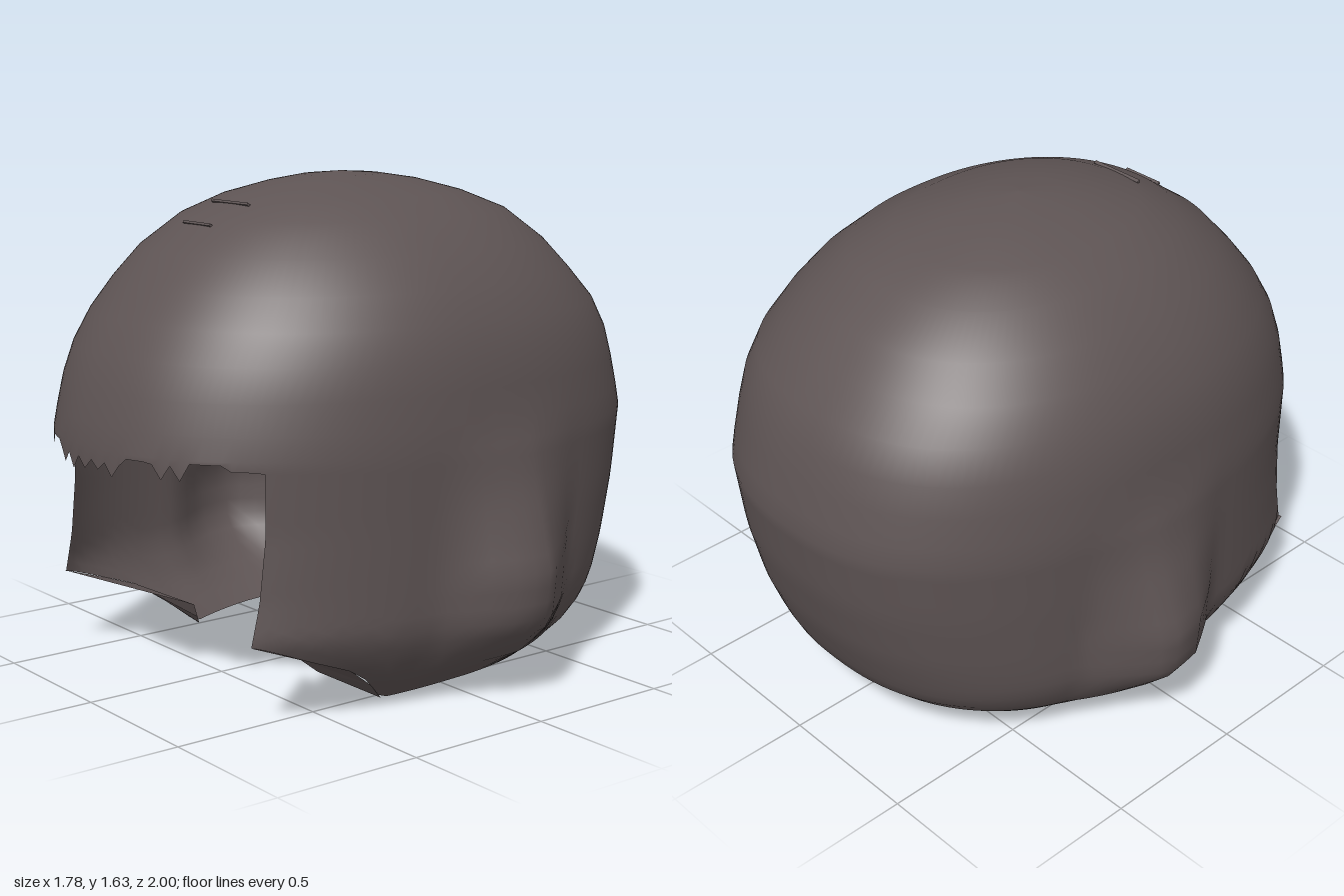
import * as THREE from 'three';

// Piecewise linear lookup: rows are [key, value, value...], keys descending
function lookup(table, key) {
  let i = 0;
  while (i < table.length - 2 && key < table[i + 1][0]) i++;
  const a = table[i], b = table[i + 1];
  const t = THREE.MathUtils.clamp((a[0] - key) / (a[0] - b[0]), 0, 1);
  return a.slice(1).map((v, j) => v + (b[j + 1] - v) * t);
}

// Height, half width, front depth, back depth
const PROFILE = [
  [1.63, 0, 0, 0], [1.62, 0.11, 0.14, 0.14], [1.6, 0.2, 0.26, 0.27], [1.56, 0.33, 0.41, 0.42],
  [1.5, 0.45, 0.55, 0.57], [1.4, 0.56, 0.69, 0.7], [1.3, 0.64, 0.78, 0.79], [1.2, 0.695, 0.86, 0.88],
  [1.1, 0.73, 0.92, 0.93], [1.0, 0.745, 0.96, 0.96], [0.9, 0.755, 0.985, 0.985], [0.83, 0.76, 1, 1],
  [0.6, 0.755, 1, 0.97], [0.4, 0.75, 1.03, 0.92], [0.27, 0.745, 1.07, 0.87], [0.2, 0.72, 1, 0.84],
  [0.12, 0.68, 0.88, 0.76], [0.05, 0.6, 0.8, 0.66], [0, 0.55, 0.75, 0.62],
];
const CROWN_ROWS = 12, SKIRT_ROWS = 16;
// Lower edge height along the cosine of the angle from the front
const HEM = [[0.69, 0.27], [0.45, 0.15], [0.31, 0], [0, 0.02], [-0.5, 0.04], [-1, 0.05]];
// Flare over the ears, by height and by z
const FLARE_Y = [[0.9, 0], [0.7, 0.045], [0.55, 0.1], [0.42, 0.145], [0.25, 0.135], [0.12, 0.05], [0.04, 0]];
const FLARE_Z = [[0.18, 0], [-0.02, 0.85], [-0.15, 1], [-0.38, 0]];
const OPENING = 0.8; // half angle of the face opening

function surfacePoint(angle, y) {
  const [w, front, back] = lookup(PROFILE, y);
  const s = Math.sin(angle), c = Math.cos(angle);
  const p = c > 0 ? 2 / 2.15 : 2 / 2.35;
  const z = (c > 0 ? front : back) * Math.sign(c) * Math.abs(c) ** p;
  const flare = lookup(FLARE_Y, y)[0] * lookup(FLARE_Z, z)[0];
  return [Math.sign(s) * (w * Math.abs(s) ** p + flare), y, z];
}

const hemPoint = (angle) => surfacePoint(angle, lookup(HEM, Math.cos(angle))[0]);

// Ragged fringe height at an angle across the brow
function fringe(angle, k) {
  const a = Math.abs(angle);
  if (a > 0.66) return 0.8;
  if (a > 0.5) return 0.82;
  if (a > 0.36) return k % 2 ? 0.81 : 0.765;
  if (a > 0.23) return 0.815;
  return k % 2 ? 0.79 : 0.755 + 0.01 * Math.sin(k * 2.3);
}

function hairShell() {
  const N = 96, M = 40, cols = N + M;
  const rows = CROWN_ROWS + SKIRT_ROWS;
  const pos = [], idx = [];
  for (let k = 0; k < cols; k++) {
    const isFringe = k > N;
    const angle = isFringe
      ? -OPENING + (2 * OPENING * (k - N)) / M
      : OPENING + ((2 * Math.PI - 2 * OPENING) * k) / N;
    const hem = hemPoint(angle)[1];
    for (let r = 0; r < rows; r++) {
      const t = (r - CROWN_ROWS + 1) / SKIRT_ROWS;
      const y = r < CROWN_ROWS ? PROFILE[r][0]
        : isFringe ? fringe(angle, k) : THREE.MathUtils.lerp(0.83, hem, t);
      pos.push(...surfacePoint(angle, y));
    }
  }
  for (let k = 0; k < cols; k++) {
    const last = k >= N ? CROWN_ROWS : rows - 1; // leave the face open
    for (let r = 0; r < last; r++) {
      const a = k * rows + r, b = ((k + 1) % cols) * rows + r;
      if (r > 0) idx.push(a, a + 1, b);
      idx.push(a + 1, b + 1, b);
    }
  }
  const g = new THREE.BufferGeometry();
  g.setAttribute('position', new THREE.Float32BufferAttribute(pos, 3));
  g.setIndex(idx);
  g.computeVertexNormals();
  return g;
}

// Lock that folds in from the cheek hem towards the chin
function cheekLock(side) {
  const inner = [[0.56, 0.27, 0.765], [0.28, 0.15, 0.42], [0.29, 0.1, 0.4], [0.34, 0.06, 0.36], [0.53, 0, 0.25]];
  const outer = [OPENING, 0.98, 1.1, 1.18, 1.26].map(hemPoint);
  const pos = [];
  for (let i = 0; i < inner.length - 1; i++) {
    const quad = [inner[i], inner[i + 1], outer[i + 1], outer[i]];
    const order = side > 0 ? [0, 1, 2, 0, 2, 3] : [0, 2, 1, 0, 3, 2];
    for (const j of order) pos.push(quad[j][0] * side, quad[j][1], quad[j][2]);
  }
  const g = new THREE.BufferGeometry();
  g.setAttribute('position', new THREE.Float32BufferAttribute(pos, 3));
  g.computeVertexNormals();
  return g;
}

export function createModel() {
  const model = new THREE.Group();
  model.name = 'hair';
  const hair = new THREE.MeshStandardMaterial({ color: 0x5e5454, side: THREE.DoubleSide });
  hair.name = 'dark brown hair';
  const add = (geometry, name) => {
    const mesh = new THREE.Mesh(geometry, hair);
    mesh.name = name;
    model.add(mesh);
    return mesh;
  };

  add(hairShell(), 'hairShell');
  add(cheekLock(1), 'leftCheekLock');
  add(cheekLock(-1), 'rightCheekLock');

  // Small creases above the brow
  for (const [y, width] of [[1.545, 0.2], [1.485, 0.15]]) {
    const crease = add(new THREE.BoxGeometry(width, 0.008, 0.012), 'browCrease');
    crease.position.set(...surfacePoint(0, y));
    crease.rotation.x = -0.6;
  }
  return model;
}
